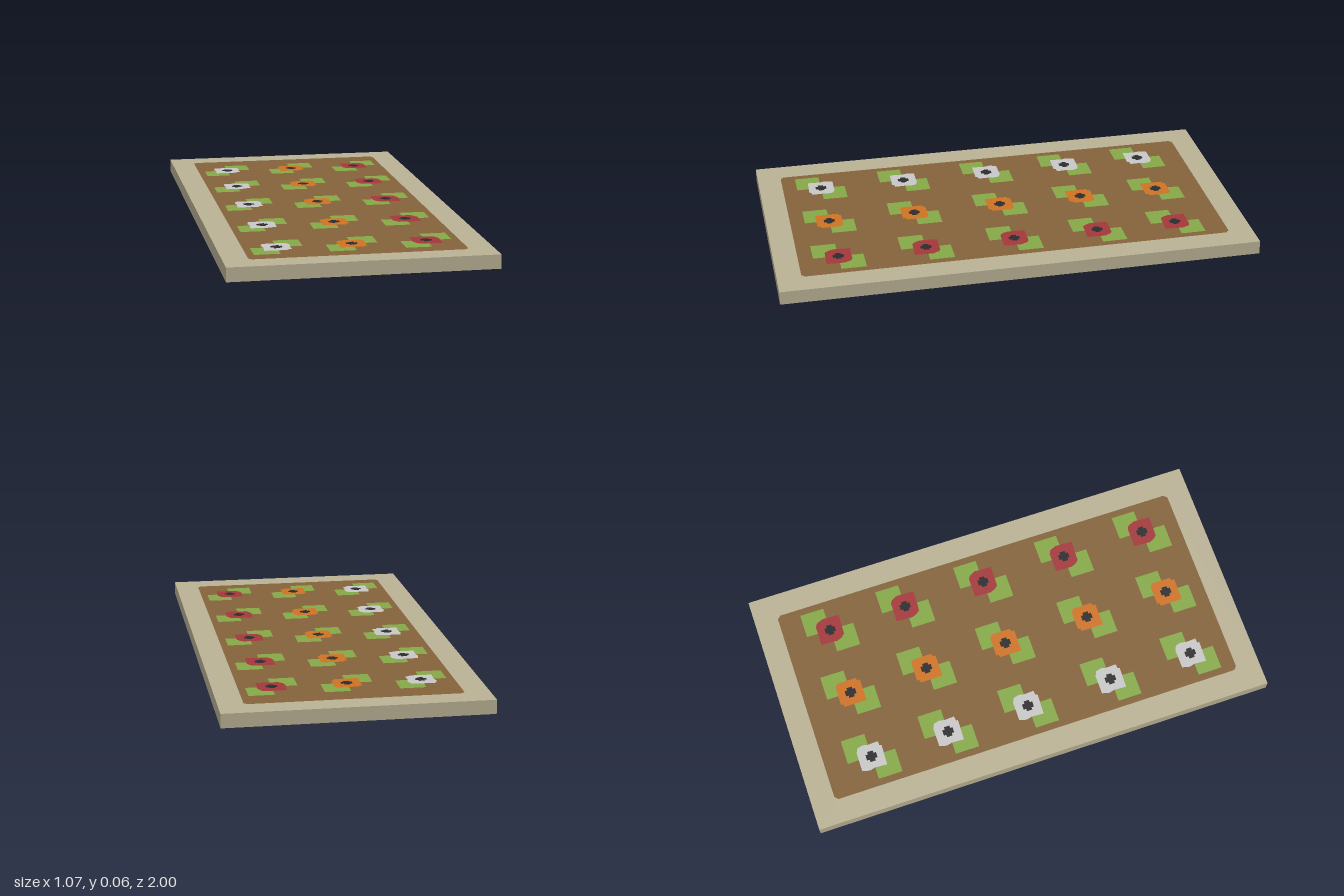
import * as THREE from 'three';

const W = 0.534, D = 1, H = 0.0575; // half width, half depth, bed height

function mat(name, color, side = THREE.FrontSide) {
  const m = new THREE.MeshStandardMaterial({ color, side });
  m.name = name;
  return m;
}

// closed outline from [x, y] pairs
const outline = (pts) => new THREE.Shape(pts.map(([x, y]) => new THREE.Vector2(x, y)));

// rectangle with corners cut by c
function cutRect(w, d, c) {
  return [[w, -d + c], [w, d - c], [w - c, d], [-w + c, d],
    [-w, d - c], [-w, -d + c], [-w + c, -d], [w - c, -d]];
}

// flat upward-facing sheet; shape y points to the back (-z)
function sheet(name, shape, material, y) {
  const g = new THREE.ShapeGeometry(shape);
  g.rotateX(-Math.PI / 2);
  const mesh = new THREE.Mesh(g, material);
  mesh.name = name;
  mesh.position.y = y;
  return mesh;
}

export function createModel() {
  const model = new THREE.Group();
  model.name = 'flowerBed';

  const stone = mat('stone', 0xbab295, THREE.DoubleSide);
  const soil = mat('soil', 0x84633a, THREE.DoubleSide);
  const leaf = mat('leafGreen', 0x86a948);
  const white = mat('whitePetal', 0xc9c8c8);
  const orange = mat('orangePetal', 0xcf7323);
  const red = mat('redPetal', 0xa4383b);
  const dark = mat('flowerCentre', 0x2b2b2e);

  // border rim around the soil
  const soilPts = cutRect(0.433, 0.9, 0.014);
  const rim = outline([[-W, -D], [W, -D], [W, D], [-W, D]]);
  rim.holes.push(new THREE.Path(soilPts.map(([x, y]) => new THREE.Vector2(x, y)).reverse()));
  model.add(sheet('borderRim', rim, stone, H));
  model.add(sheet('soil', outline(soilPts), soil, H));

  // thin outer walls, open underneath
  const walls = [['frontWall', 0, D, 2 * W, 0], ['backWall', 0, -D, 2 * W, Math.PI],
    ['leftWall', W, 0, 2 * D, Math.PI / 2], ['rightWall', -W, 0, 2 * D, -Math.PI / 2]];
  for (const [name, x, z, len, turn] of walls) {
    const wall = new THREE.Mesh(new THREE.PlaneGeometry(len, H), stone);
    wall.name = name;
    wall.position.set(x, H / 2, z);
    wall.rotation.y = turn;
    model.add(wall);
  }

  // one petal outline per column
  const whiteShape = outline([[-0.055, -0.052], [0.034, -0.055], [0.036, -0.046], [0.055, -0.044],
    [0.053, 0], [0.058, 0.022], [0.052, 0.046], [0.032, 0.056], [-0.05, 0.056], [-0.058, 0.025], [-0.052, 0]]);
  const orangeShape = outline([[-0.055, -0.055], [0.042, -0.055], [0.042, -0.042], [0.055, -0.04],
    [0.055, 0.042], [0.042, 0.055], [-0.042, 0.055], [-0.042, 0.045], [-0.055, 0.042]]);
  const redShape = outline([[-0.036, -0.052], [0.055, -0.055], [0.058, 0.02], [0.045, 0.047],
    [0.03, 0.055], [-0.055, 0.055], [-0.058, -0.015], [-0.05, -0.036]]);
  const columns = [[-0.3, 'white', white, whiteShape], [0, 'orange', orange, orangeShape], [0.3, 'red', red, redShape]];
  const leafShape = outline([[0, 0], [0.104, 0], [0.104, 0.104], [0, 0.104]]);
  // stepped round centre
  const a = 0.012, b = 0.023;
  const centreShape = outline([[a, -b], [a, -a], [b, -a], [b, a], [a, a], [a, b],
    [-a, b], [-a, a], [-b, a], [-b, -a], [-a, -a], [-a, -b]]);

  for (const z of [-0.7, -0.36, -0.003, 0.37, 0.735]) {
    for (const [x, colour, material, shape] of columns) {
      const flower = new THREE.Group();
      flower.name = colour + 'Flower';
      flower.position.set(x, H, z);
      const frontLeaf = sheet('frontLeaf', leafShape, leaf, 0.0006);
      frontLeaf.rotation.y = Math.PI;
      flower.add(
        sheet('backLeaf', leafShape, leaf, 0.0006),
        frontLeaf,
        sheet('petals', shape, material, 0.0012),
        sheet('centre', centreShape, dark, 0.0018),
      );
      model.add(flower);
    }
  }
  return model;
}
